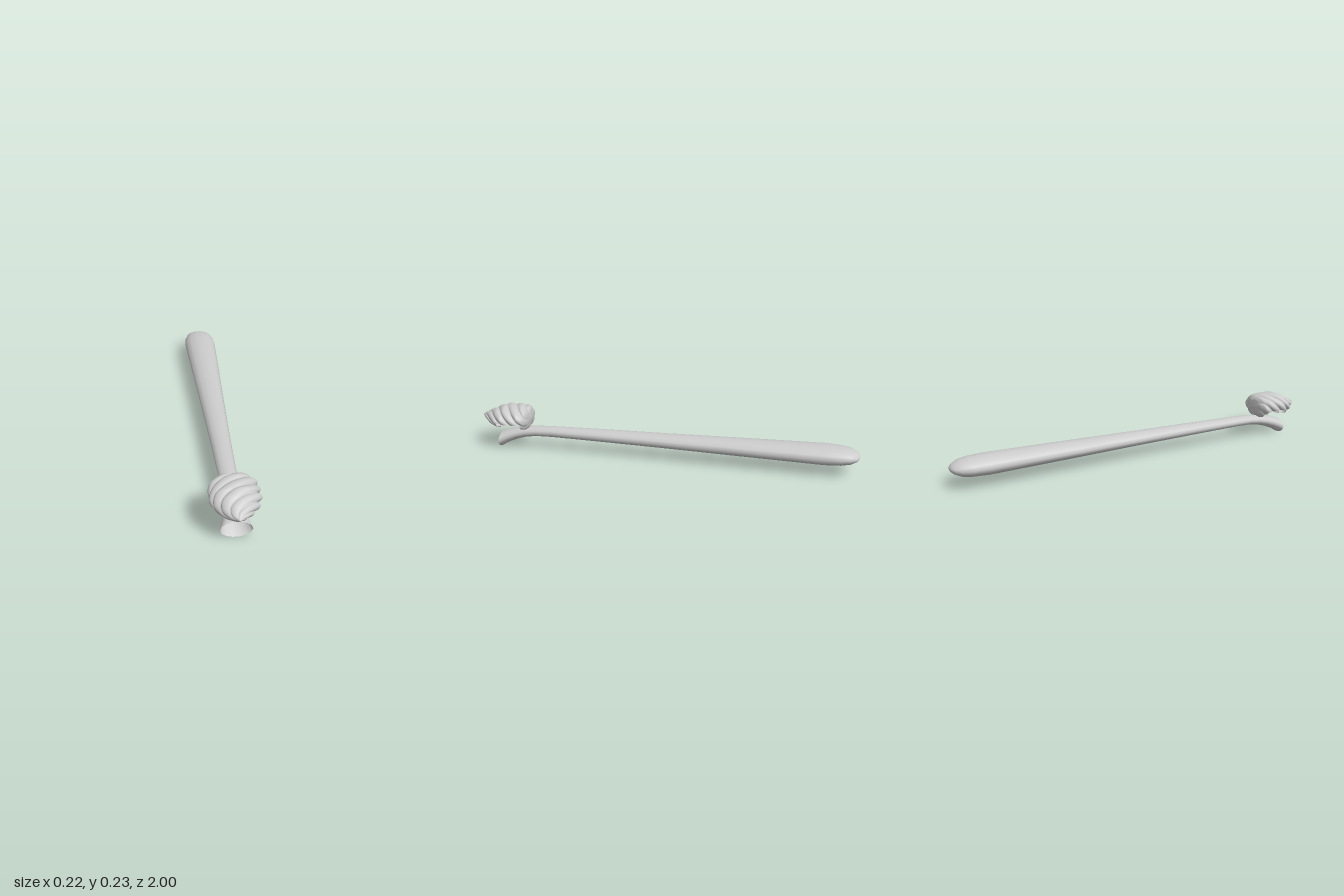
import * as THREE from 'three';

// Skin a grid of points: ring(i, a) gives the point at station i and angle a
function skin(stations, sides, ring, keep = () => true) {
  const pts = [], index = [];
  for (let i = 0; i < stations; i++)
    for (let j = 0; j < sides; j++) pts.push(ring(i, (j / sides) * Math.PI * 2));
  for (let i = 0; i < stations - 1; i++) {
    for (let j = 0; j < sides; j++) {
      const k = (j + 1) % sides;
      const a = i * sides + j, b = i * sides + k, c = a + sides, d = b + sides;
      if (keep([a, b, c, d].map((n) => pts[n]))) index.push(a, b, d, a, d, c);
    }
  }
  const geometry = new THREE.BufferGeometry().setFromPoints(pts);
  geometry.setIndex(index);
  geometry.computeVertexNormals();
  return geometry;
}

// Linear lookup in rows of [z, value, value, ...]
function sample(rows, z) {
  let i = 0;
  while (i < rows.length - 2 && z > rows[i + 1][0]) i++;
  const p = rows[i], q = rows[i + 1];
  const t = THREE.MathUtils.clamp((z - p[0]) / (q[0] - p[0]), 0, 1);
  return p.map((v, n) => v + (q[n] - v) * t);
}

export function createModel() {
  const group = new THREE.Group();
  const material = new THREE.MeshStandardMaterial({ color: 0xcccccc, side: THREE.DoubleSide });
  const add = (name, geometry) => {
    const mesh = new THREE.Mesh(geometry, material);
    mesh.name = name;
    group.add(mesh);
  };

  // Handle: oval sections [z, centre y, half width, half height], closed at the back, open flare in front
  const handle = [
    [-1, 0.098, 0, 0], [-0.998, 0.098, 0.028, 0.01], [-0.985, 0.098, 0.052, 0.022],
    [-0.955, 0.098, 0.073, 0.036], [-0.91, 0.098, 0.085, 0.044], [-0.83, 0.098, 0.09, 0.048],
    [-0.7, 0.098, 0.086, 0.046], [-0.35, 0.098, 0.073, 0.041], [0, 0.098, 0.06, 0.035],
    [0.35, 0.098, 0.049, 0.031], [0.6, 0.097, 0.043, 0.027], [0.69, 0.094, 0.042, 0.026],
    [0.75, 0.087, 0.043, 0.028], [0.8, 0.076, 0.047, 0.031], [0.84, 0.063, 0.054, 0.034],
    [0.87, 0.051, 0.062, 0.037], [0.893, 0.04, 0.071, 0.04],
  ];
  add('handle', skin(handle.length, 14, (i, a) => {
    const [z, y, w, h] = handle[i];
    return new THREE.Vector3(w * Math.cos(a), y + h * Math.sin(a), z);
  }));

  // Swirl: twisted ridged shell [z, centre y, half width, half height] with a hollow underside
  const swirl = [
    [0.722, 0.165, 0, 0], [0.726, 0.165, 0.05, 0.035], [0.74, 0.167, 0.085, 0.053],
    [0.77, 0.169, 0.1, 0.059], [0.86, 0.169, 0.1, 0.059], [0.9, 0.165, 0.087, 0.051],
    [0.94, 0.163, 0.06, 0.036], [0.975, 0.165, 0.03, 0.018], [0.995, 0.168, 0.006, 0.004],
    [1, 0.168, 0, 0],
  ];
  const steps = 56, ridges = 6, twist = 19;
  add('swirl', skin(steps + 1, 72, (i, a) => {
    const [z, y, w, h] = sample(swirl, 0.722 + (0.278 * i) / steps);
    const wave = Math.abs(Math.sin((ridges / 2) * (a - twist * z)));
    const r = 0.9 + 0.22 * Math.sqrt(wave);
    return new THREE.Vector3(w * r * Math.cos(a), y + h * r * Math.sin(a), z);
  }, (corners) => {
    const { z } = corners[0];
    return z < 0.752 || z > 0.885 || corners.some((p) => p.y > 0.155);
  }));

  return group;
}
